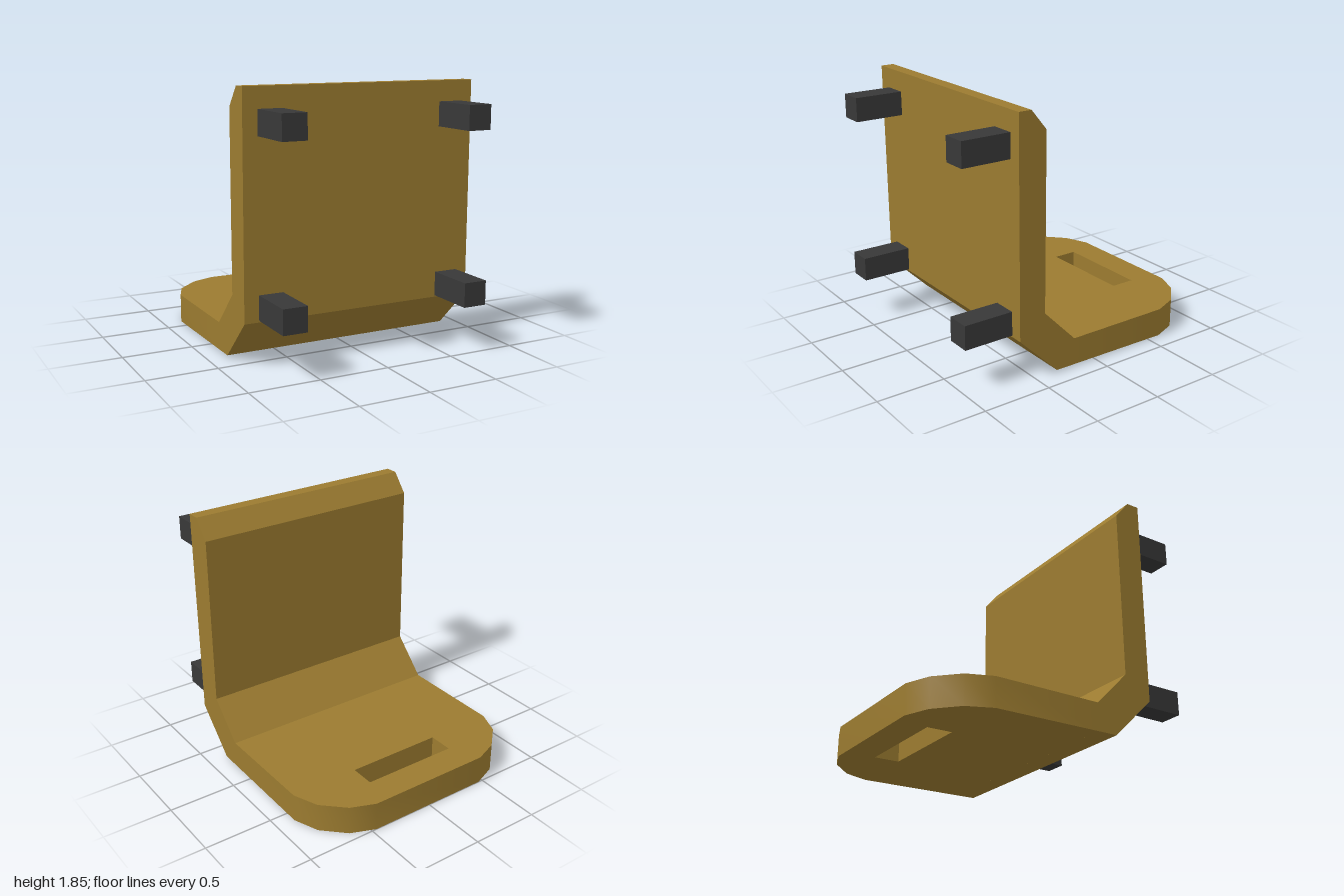
import * as THREE from 'three';
import { toCreasedNormals } from 'three/addons/utils/BufferGeometryUtils.js';

const HALF = 0.866; // half width of the bent plate

// Shape from [z, y] or [x, z] style pairs already mapped to 2D
const shapeOf = (pts) => new THREE.Shape(pts.map(([a, b]) => new THREE.Vector2(a, b)));

export function createModel() {
  const group = new THREE.Group();
  const wood = new THREE.MeshStandardMaterial({ color: 0x9b7b30 });
  wood.name = 'ochre wood';
  const dark = new THREE.MeshStandardMaterial({ color: 0x383838 });
  dark.name = 'dark grey';

  const add = (name, geometry, material) => {
    const mesh = new THREE.Mesh(geometry, material);
    mesh.name = name;
    group.add(mesh);
    return mesh;
  };

  // Upright back with the sloped bend: side profile as [z, y], swept across x
  const profile = [
    [0.185, 0.018], [0.33, 0.02], [0.635, 0.32], [0.645, 1.855],
    [0.55, 1.855], [0.435, 1.715], [0.435, 0.47], [0.185, 0.215],
  ];
  const back = new THREE.ExtrudeGeometry(
    shapeOf(profile.map(([z, y]) => [-z, y])),
    { depth: 2 * HALF, bevelEnabled: false },
  );
  back.rotateY(Math.PI / 2).translate(-HALF, 0, 0);
  add('backPlate', back, wood);

  // Shelf: plan outline as [x, z] with faceted corners, mirrored
  const side = [[HALF, 0.185], [HALF, -0.6], [0.795, -0.78], [0.64, -0.93], [0.465, -1]];
  const outline = [...side, ...side.map(([x, z]) => [-x, z]).reverse()];
  const shelfShape = shapeOf(outline.map(([x, z]) => [x, -z]));
  // Grip slot
  shelfShape.holes.push(shapeOf([[-0.357, 0.6], [-0.357, 0.78], [0.357, 0.78], [0.357, 0.6]]));
  let shelf = new THREE.ExtrudeGeometry(shelfShape, { depth: 0.215, bevelEnabled: false });
  shelf.rotateX(-Math.PI / 2);
  // The underside rises slightly towards the bend
  const pos = shelf.attributes.position;
  for (let i = 0; i < pos.count; i++) {
    if (pos.getY(i) < 0.1) pos.setY(i, 0.003 + 0.0127 * (pos.getZ(i) + 1));
  }
  shelf = toCreasedNormals(shelf, 0.5); // smooth corners, sharp rims
  add('shelf', shelf, wood);

  // Four square pegs on the front of the back plate
  for (const [row, y] of [['upper', 1.625], ['lower', 0.417]]) {
    for (const [hand, x] of [['Left', 0.69], ['Right', -0.675]]) {
      const peg = add(`${row}${hand}Peg`, new THREE.BoxGeometry(0.173, 0.172, 0.38), dark);
      peg.position.set(x, y, 0.81);
    }
  }
  return group;
}
